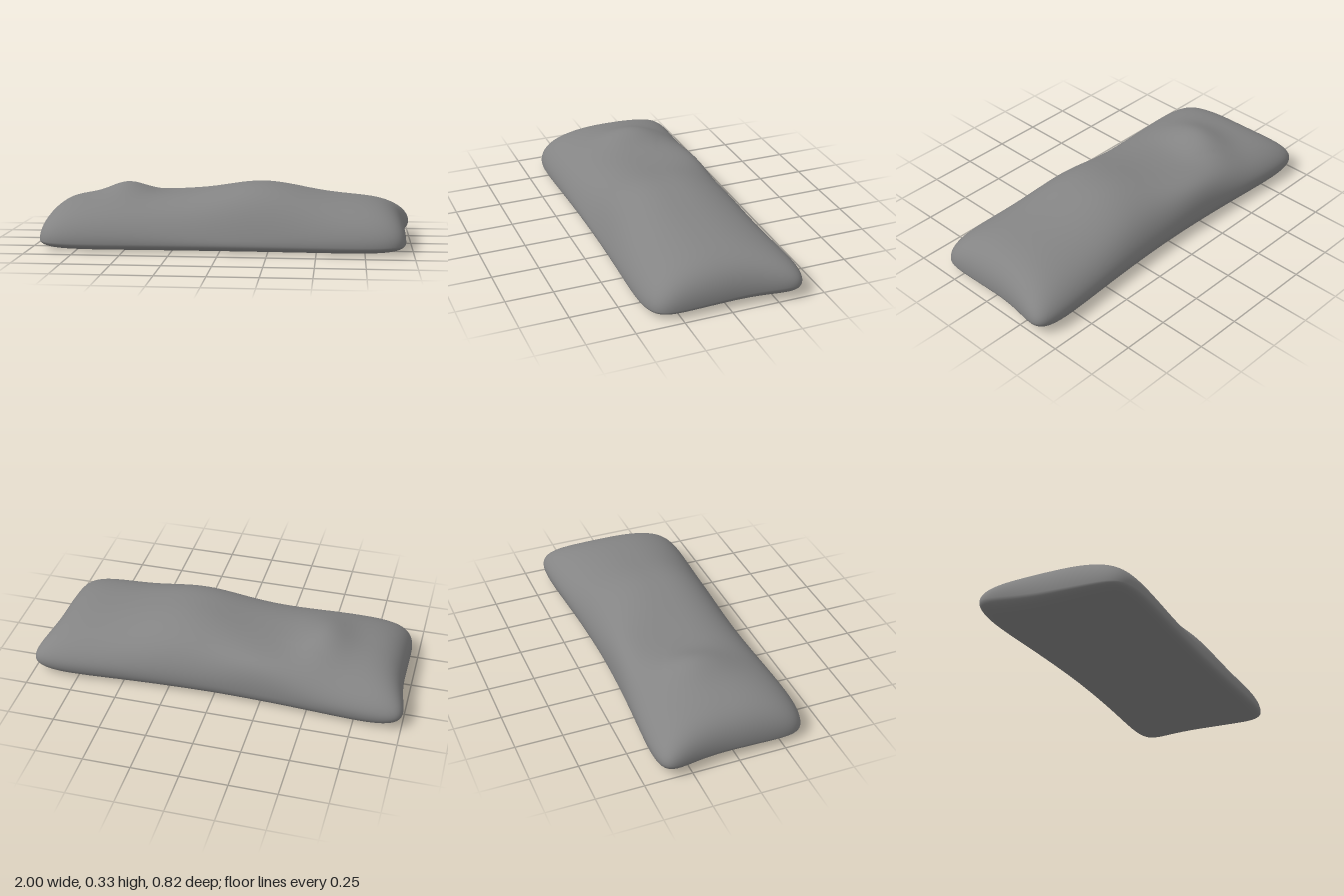
import * as THREE from 'three';
import { mergeGeometries, mergeVertices } from 'three/addons/utils/BufferGeometryUtils.js';

const CORNER = 8; // squareness of the plan corners
const bell = (d) => Math.exp(-d * d);
const ease = (a) => Math.sin(a * Math.PI / 2); // packs rows towards the rim

// Height of the widest line around the slab, lower at the front
const rimHeight = (v) => 0.062 - 0.018 * v;

// Plan outline: flared back corners and a pinched back edge
function halfLength(v) {
  return 0.965 + (v < 0 ? 0.09 * Math.pow(-v, 2.2) : 0);
}
function halfDepth(u, v) {
  return v < 0 ? 0.37 + 0.073 * Math.pow(Math.abs(u), 1.8) : 0.392 + 0.034 * u * u;
}

// Upper surface: broad mound, small hump, steep middle front, full patch at the back
function topHeight(r, v, x, z) {
  const crown = 0.26 + 0.07 * bell((x - 0.2) / 0.3)
    + 0.057 * bell((x + 0.54) / 0.13) * bell((z + 0.06) / 0.2);
  const steep = v > 0 ? bell((x - 0.1) / 0.45) : 0;
  const full = v < 0 ? bell((x + 0.25) / 0.24) : 0;
  const drop = 0.56 + 0.22 * steep - 0.38 * full;
  const power = 2.3 + 0.6 * steep + 1.2 * full;
  const slope = 1 - drop * Math.pow(Math.abs(v), power);
  const rim = rimHeight(v);
  return rim + (crown - rim) * slope * Math.sqrt(1 - Math.pow(r, 10));
}

// Nearly flat underside that curls up at the rim
function bottomHeight(r, v) {
  return 0.004 + (rimHeight(v) - 0.004) * (1 - Math.sqrt(1 - Math.pow(r, 14)));
}

function sheet(isTop) {
  const g = new THREE.PlaneGeometry(2, 2, 96, 64);
  g.rotateX(isTop ? -Math.PI / 2 : Math.PI / 2);
  const p = g.attributes.position;
  for (let i = 0; i < p.count; i++) {
    let u = ease(p.getX(i)), v = ease(p.getZ(i));
    // Pull the square grid into nested rounded rectangles; r is 1 on the rim
    const r = Math.min(1, Math.max(Math.abs(u), Math.abs(v)));
    const norm = Math.pow(Math.pow(Math.abs(u), CORNER) + Math.pow(Math.abs(v), CORNER), 1 / CORNER);
    const pull = norm > 0 ? r / norm : 1;
    u *= pull;
    v *= pull;
    const x = u * halfLength(v), z = v * halfDepth(u, v);
    p.setXYZ(i, x, isTop ? topHeight(r, v, x, z) : bottomHeight(r, v), z);
  }
  g.deleteAttribute('uv');
  g.deleteAttribute('normal');
  return g;
}

export function createModel() {
  const group = new THREE.Group();
  group.name = 'lumpySlab';
  // Weld both sheets at the rim so the shading stays smooth all round
  const geometry = mergeVertices(mergeGeometries([sheet(true), sheet(false)]), 1e-5);
  geometry.computeVertexNormals();
  const body = new THREE.Mesh(geometry, new THREE.MeshStandardMaterial({ color: 0x848484 }));
  body.name = 'slabBody';
  group.add(body);
  return group;
}
